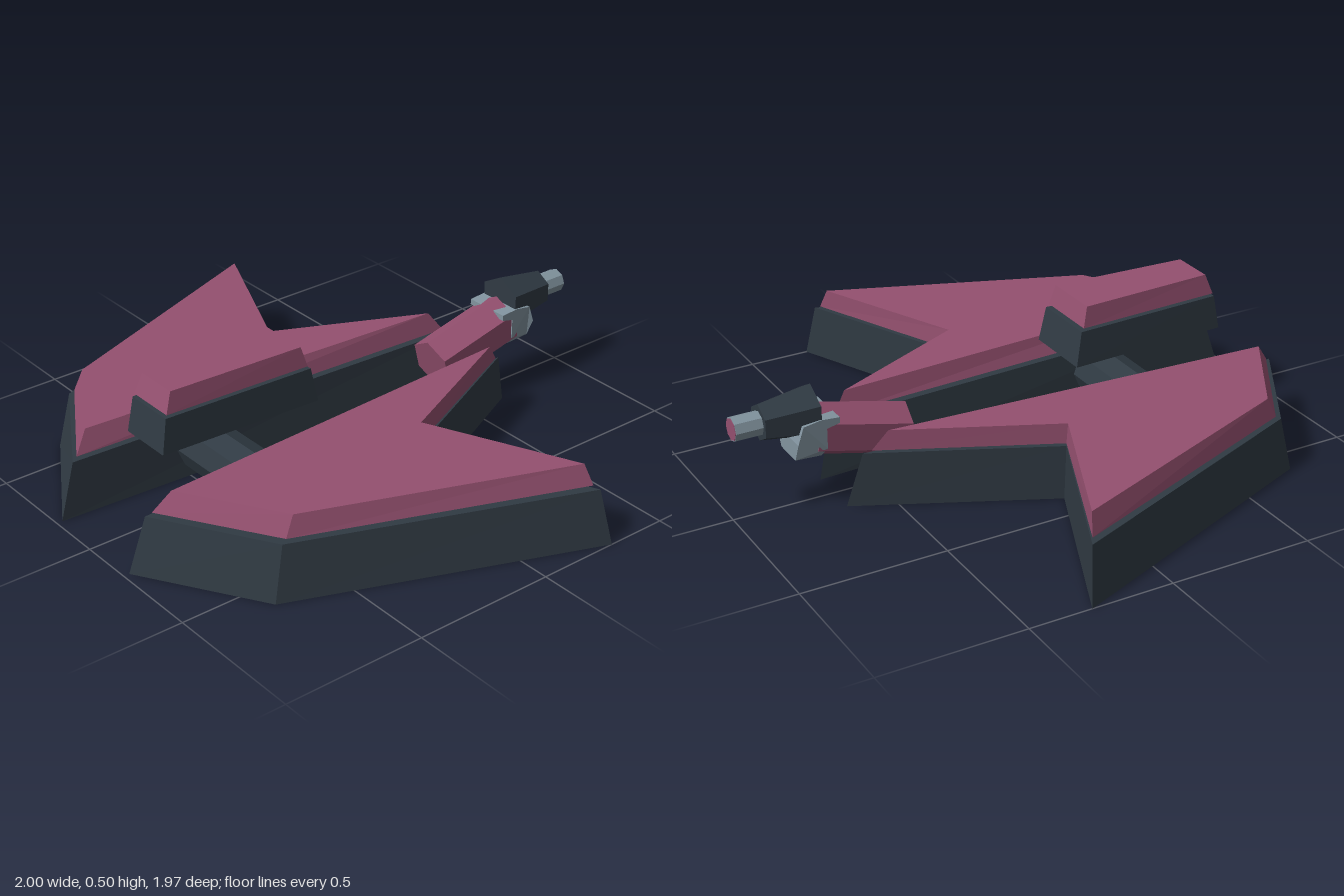
import * as THREE from 'three';

const mat = (color) => new THREE.MeshStandardMaterial({ color, flatShading: true });

// Solid between two matching [x, z] outlines at heights y0 and y1
function frustum(lower, y0, upper, y1) {
  const flat = (ring) => ring.map(([x, z]) => new THREE.Vector2(x, -z));
  let b = flat(lower), t = flat(upper);
  if (THREE.ShapeUtils.isClockWise(b)) { b = b.reverse(); t = t.reverse(); }
  const n = b.length, pos = [], index = [];
  b.forEach((p) => pos.push(p.x, y0, -p.y));
  t.forEach((p) => pos.push(p.x, y1, -p.y));
  for (let i = 0; i < n; i++) {
    const j = (i + 1) % n;
    index.push(i, j, n + j, i, n + j, n + i);
  }
  for (const [p, q, r] of THREE.ShapeUtils.triangulateShape(t, [])) {
    index.push(n + p, n + q, n + r, p, r, q);
  }
  const g = new THREE.BufferGeometry();
  g.setAttribute('position', new THREE.Float32BufferAttribute(pos, 3));
  g.setIndex(index);
  const out = g.toNonIndexed();
  out.computeVertexNormals();
  return out;
}

// Prism along z with a corner pointing up
const prism = (rFront, rBack, length, sides) =>
  new THREE.CylinderGeometry(rBack, rFront, length, sides).rotateX(-Math.PI / 2);

// Four-cornered outline, tapered from back to front
const trapezoid = (front, wFront, back, wBack) =>
  [[-wFront, front], [wFront, front], [wBack, back], [-wBack, back]];

export function createModel() {
  const model = new THREE.Group();
  const pink = mat(0x94506f), dark = mat(0x303a43), steel = mat(0x82949f);
  const add = (name, geometry, material, x = 0, y = 0, z = 0) => {
    const mesh = new THREE.Mesh(geometry, material);
    mesh.name = name;
    mesh.position.set(x, y, z);
    model.add(mesh);
    return mesh;
  };

  // Wings: dark hull below, pink armour plate above a thin gap
  const hullLow = [[0.19, 0.98], [0.6, 0.73], [1, -0.285], [0.4, -0.02], [0.1, -0.65]];
  const hullTop = [[0.202, 0.92], [0.585, 0.69], [0.958, -0.262], [0.4, -0.015], [0.125, -0.6]];
  const plateLow = [[0.21, 0.9], [0.58, 0.672], [0.938, -0.25], [0.4, -0.015], [0.138, -0.575]];
  const plateTop = [[0.238, 0.845], [0.573, 0.64], [0.908, -0.235], [0.4, -0.01], [0.16, -0.525]];
  for (const [side, s] of [['left', 1], ['right', -1]]) {
    const flip = (ring) => ring.map(([x, z]) => [s * x, z]);
    add(side + 'WingHull', frustum(flip(hullLow), 0, flip(hullTop), 0.19), dark);
    add(side + 'WingPlate', frustum(flip(plateLow), 0.2, flip(plateTop), 0.27), pink);
  }

  // Octagonal bar joining the wings
  add('crossBar', new THREE.CylinderGeometry(0.093, 0.093, 0.52, 8).rotateZ(Math.PI / 2), dark, 0, 0.11, 0.45);

  // Raised central pod
  add('podBase', frustum(trapezoid(0.775, 0.097, 0.19, 0.125), 0.3,
    trapezoid(0.755, 0.09, 0.212, 0.115), 0.42), dark);
  add('podCover', frustum(trapezoid(0.75, 0.088, 0.222, 0.112), 0.43,
    trapezoid(0.725, 0.076, 0.24, 0.1), 0.5), pink);

  // Sloping hexagonal tail arm
  add('tailArm', prism(0.091, 0.091, 0.325, 6), pink, 0, 0.217, -0.5625).rotation.x = 0.24;

  // Tail bracket: side profile in (z, y), narrowed at the bottom
  const profile = [[-0.655, 0.315], [-0.72, 0.32], [-0.78, 0.31], [-0.8, 0.25], [-0.8, 0.185],
    [-0.71, 0.18], [-0.7, 0.215], [-0.7, 0.285], [-0.655, 0.295]];
  const bracket = new THREE.ExtrudeGeometry(
    new THREE.Shape(profile.map(([z, y]) => new THREE.Vector2(z, y))),
    { depth: 0.166, bevelEnabled: false }).translate(0, 0, -0.083).rotateY(-Math.PI / 2);
  const p = bracket.attributes.position;
  for (let i = 0; i < p.count; i++) if (p.getY(i) < 0.2) p.setX(i, p.getX(i) * 0.65);
  bracket.computeVertexNormals();
  add('tailBracket', bracket, steel);

  // Tail gun: tapered body, barrel and coloured muzzle
  add('gunBody', prism(0.092, 0.063, 0.18, 6), dark, 0, 0.32, -0.805);
  add('gunBarrel', prism(0.041, 0.041, 0.095, 8), steel, 0, 0.32, -0.9395);
  add('gunMuzzle', prism(0.038, 0.038, 0.004, 8), pink, 0, 0.32, -0.987);

  return model;
}
